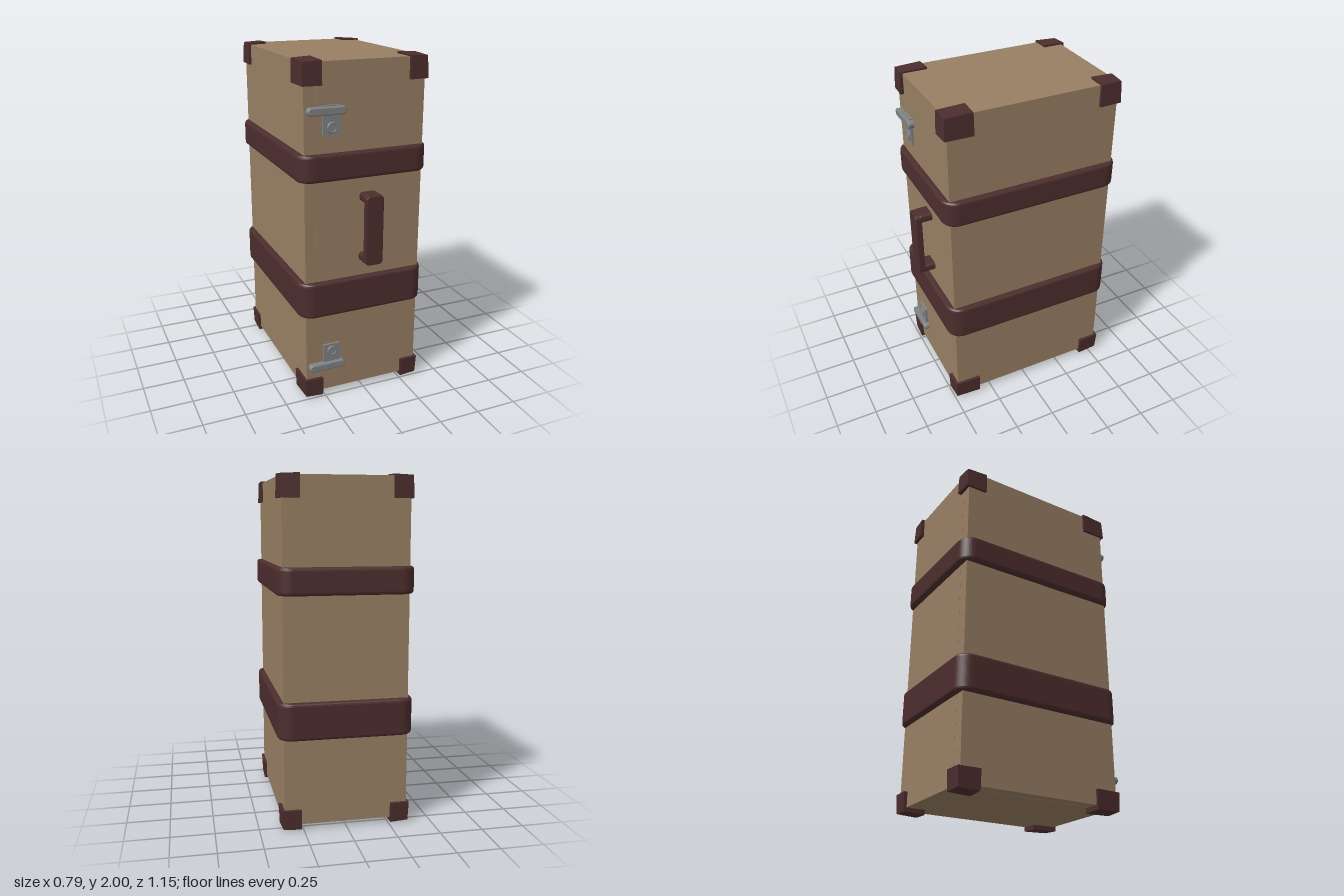
import * as THREE from 'three';

const canvasTan = new THREE.MeshStandardMaterial({ color: 0x987f63 });
canvasTan.name = 'tan canvas';
const leather = new THREE.MeshStandardMaterial({ color: 0x4c2d2d });
leather.name = 'dark leather';
const metal = new THREE.MeshStandardMaterial({ color: 0x808284 });
metal.name = 'grey metal';

function add(parent, name, geometry, material) {
  const mesh = new THREE.Mesh(geometry, material);
  mesh.name = name;
  parent.add(mesh);
  return mesh;
}

// Box given by its two extreme corners
function boxBetween(x0, x1, y0, y1, z0, z1) {
  return new THREE.BoxGeometry(x1 - x0, y1 - y0, z1 - z0)
    .translate((x0 + x1) / 2, (y0 + y1) / 2, (z0 + z1) / 2);
}

// Rounded rectangle centred on the origin, extruded along z from 0 to depth, edges bevelled
function roundedSlab(w, h, depth, r, bevel) {
  const a = w / 2 - bevel, b = h / 2 - bevel, q = r - bevel;
  const s = new THREE.Shape();
  s.absarc(a - q, b - q, q, 0, Math.PI / 2);
  s.absarc(-a + q, b - q, q, Math.PI / 2, Math.PI);
  s.absarc(-a + q, -b + q, q, Math.PI, Math.PI * 1.5);
  s.absarc(a - q, -b + q, q, Math.PI * 1.5, Math.PI * 2);
  return new THREE.ExtrudeGeometry(s, {
    depth: depth - 2 * bevel, bevelThickness: bevel, bevelSize: bevel,
    bevelSegments: 3, curveSegments: 8,
  }).translate(0, 0, bevel);
}

// Corner cap whose outermost edges are drawn in a little
function cornerCap(sx, sy, sz) {
  const x = [0.262, 0.377], y = sy > 0 ? [1.865, 2.0] : [0.12, 0.0];
  const z = sz > 0 ? [0.33, 0.497] : [0.425, 0.563];
  const g = boxBetween(-0.5, 0.5, -0.5, 0.5, -0.5, 0.5);
  const p = g.attributes.position;
  for (let i = 0; i < p.count; i++) {
    const ox = p.getX(i) * sx > 0, oy = p.getY(i) * sy > 0, oz = p.getZ(i) * sz > 0;
    const pull = (a, b) => 0.005 * (a + b);
    p.setXYZ(i,
      sx * (ox ? x[1] - pull(oy, oz) : x[0]),
      oy ? y[1] - sy * pull(ox, oz) : y[0],
      sz * (oz ? z[1] - pull(ox, oy) : z[0]));
  }
  g.computeVertexNormals();
  return g;
}

export function createModel() {
  const model = new THREE.Group();
  model.name = 'travelTrunk';

  // Body and the shallow lid on its right side
  add(model, 'body', boxBetween(-0.29, 0.358, 0.03, 1.987, -0.54, 0.476), canvasTan);
  add(model, 'lid', boxBetween(-0.36, -0.29, 0.031, 1.986, -0.539, 0.474), canvasTan);

  // Corner caps
  for (const sx of [-1, 1]) for (const sy of [-1, 1]) for (const sz of [-1, 1]) {
    add(model, 'cornerCap', cornerCap(sx, sy, sz), leather);
  }

  // Straps around the body
  for (const [y0, y1] of [[0.53, 0.745], [1.34, 1.495]]) {
    const g = roundedSlab(0.785, 1.085, y1 - y0, 0.085, 0.018);
    g.rotateX(-Math.PI / 2).translate(-0.002, y0, -0.033);
    add(model, 'strap', g, leather);
  }

  // Carrying handle
  const handle = new THREE.Group();
  handle.name = 'handle';
  handle.position.set(0.021, 1.045, 0);
  model.add(handle);
  add(handle, 'grip', roundedSlab(0.106, 0.412, 0.037, 0.025, 0.004).translate(0, 0, 0.54), leather);
  for (const s of [-1, 1]) {
    add(handle, 'handleLeg', roundedSlab(0.104, 0.05, 0.075, 0.018, 0.003)
      .translate(0, s * 0.181, 0.47), leather);
  }

  // Latches, the lower one mirrored
  for (const [y, s] of [[1.73, 1], [0.2, -1]]) {
    const latch = new THREE.Group();
    latch.name = 'latch';
    latch.position.set(0, y, 0.47);
    model.add(latch);
    add(latch, 'latchBar', roundedSlab(0.225, 0.046, 0.04, 0.022, 0.008)
      .translate(-0.237, 0, 0), metal);
    add(latch, 'latchPlate', boxBetween(-0.255, -0.152, -0.082, 0.082, 0, 0.02)
      .translate(0, -s * 0.053, 0), metal);
    const knob = new THREE.CylinderGeometry(0.022, 0.022, 0.026, 20);
    knob.rotateX(Math.PI / 2).translate(-0.203, -s * 0.092, 0.013);
    add(latch, 'lockButton', knob, metal);
    add(latch, 'lockRing', new THREE.TorusGeometry(0.025, 0.007, 8, 24)
      .translate(-0.203, -s * 0.092, 0.022), metal);
  }
  return model;
}
